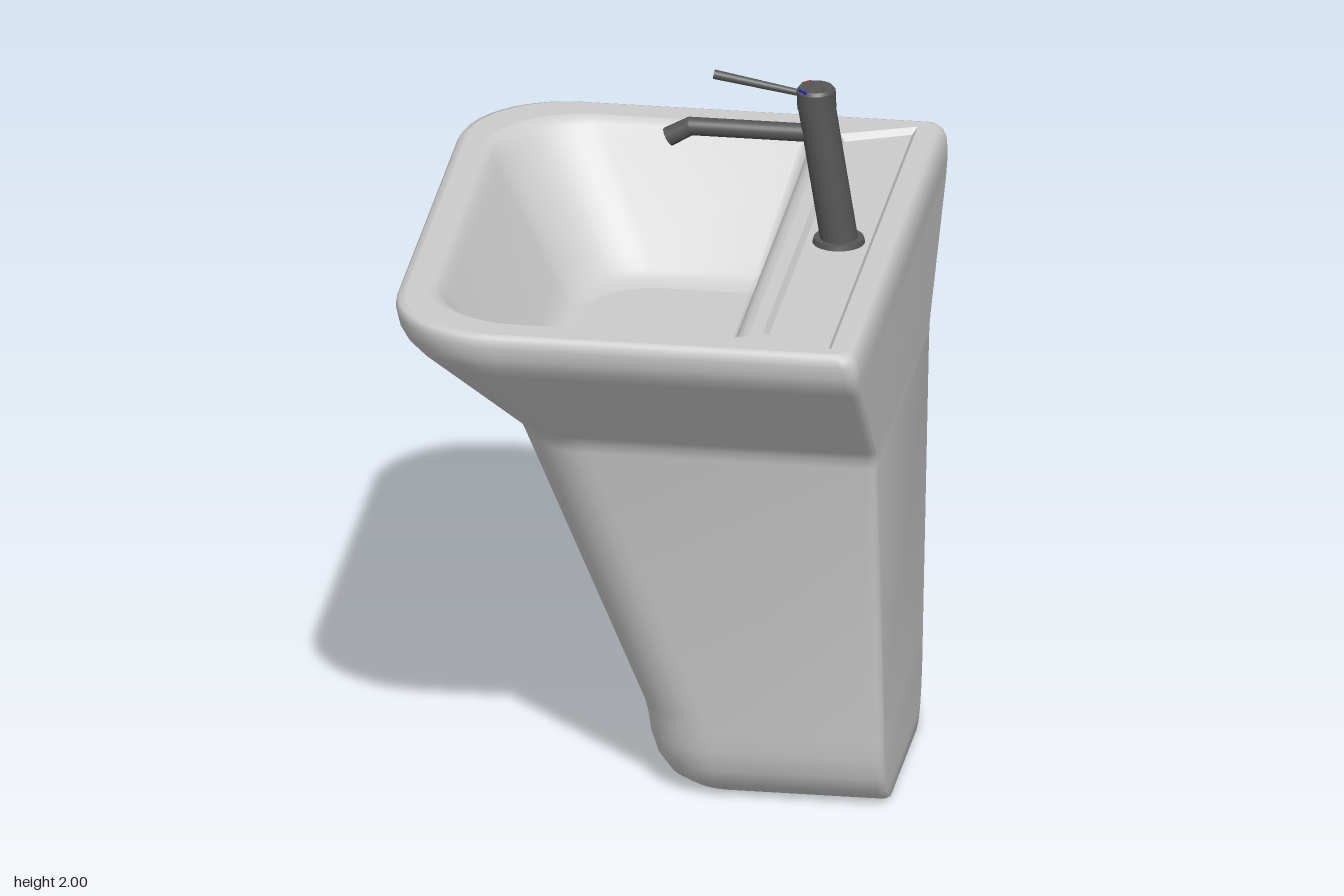
import * as THREE from 'three';
import { toCreasedNormals } from 'three/addons/utils/BufferGeometryUtils.js';

const RIM = 1.535;
const ceramic = new THREE.MeshStandardMaterial({ color: 0xcccccc });
const metal = new THREE.MeshStandardMaterial({ color: 0x555555 });
const red = new THREE.MeshStandardMaterial({ color: 0xcc2222 });
const blue = new THREE.MeshStandardMaterial({ color: 0x2222cc });

// Horizontal outline with separate front (-x) and back (+x) corner radii
function outline([y, x0, x1, hz, rf, rb]) {
  const pts = [], n = 10;
  const corners = [[x1 - rb, hz - rb, rb], [x0 + rf, hz - rf, rf], [x0 + rf, rf - hz, rf], [x1 - rb, rb - hz, rb]];
  corners.forEach(([cx, cz, r], k) => {
    for (let i = 0; i <= n; i++) {
      const a = (k + i / n) * Math.PI / 2;
      pts.push(new THREE.Vector3(cx + r * Math.cos(a), y, cz + r * Math.sin(a)));
    }
  });
  return pts;
}

// Skin a stack of equal-length outlines
function loft(rings, crease) {
  const n = rings[0].length, index = [];
  for (let j = 0; j < rings.length - 1; j++) {
    for (let i = 0; i < n; i++) {
      const a = j * n + i, b = j * n + (i + 1) % n;
      index.push(a, a + n, b, b, a + n, b + n);
    }
  }
  const g = new THREE.BufferGeometry().setFromPoints(rings.flat());
  g.setIndex(index);
  return toCreasedNormals(g, crease);
}

// Flat face bounded by an outline, facing up or down
function flat(pts, up = true, holes = []) {
  const s = up ? -1 : 1;
  const to2 = (list) => list.map((p) => new THREE.Vector2(p.x, s * p.z));
  const shape = new THREE.Shape(to2(pts));
  holes.forEach((h) => shape.holes.push(new THREE.Path(to2(h))));
  return new THREE.ShapeGeometry(shape).rotateX(s * Math.PI / 2).translate(0, pts[0].y, 0);
}

function add(parent, name, geometry, material) {
  const m = new THREE.Mesh(geometry, material);
  m.name = name;
  parent.add(m);
  return m;
}

// Round bar between two points
function rod(parent, name, a, b, ra, rb, material) {
  const p = new THREE.Vector3(...a), q = new THREE.Vector3(...b);
  const d = q.clone().sub(p);
  const m = add(parent, name, new THREE.CylinderGeometry(rb, ra, d.length(), 32), material);
  m.position.copy(p).add(q).multiplyScalar(0.5);
  m.quaternion.setFromUnitVectors(new THREE.Vector3(0, 1, 0), d.normalize());
  return m;
}

export function createModel() {
  const model = new THREE.Group();
  const sink = new THREE.Group();
  sink.name = 'pedestalSink';
  model.add(sink);

  // Pedestal and outside of the bowl: y, front x, back x, half width, front radius, back radius
  const outer = [
    [0, 0.12, 0.65, 0.25, 0.12, 0.015],
    [0.012, 0.075, 0.65, 0.29, 0.14, 0.02],
    [0.04, 0.035, 0.65, 0.322, 0.16, 0.025],
    [0.09, 0.003, 0.65, 0.35, 0.18, 0.03],
    [0.15, -0.015, 0.65, 0.365, 0.19, 0.03],
    [0.21, -0.022, 0.65, 0.373, 0.19, 0.03],
    [0.25, -0.032, 0.65, 0.378, 0.19, 0.03],
    [1.06, -0.343, 0.65, 0.49, 0.2, 0.03],
    [1.09, -0.354, 0.65, 0.498, 0.2, 0.03],
    [1.115, -0.37, 0.65, 0.518, 0.2, 0.03],
    [1.4, -0.607, 0.65, 0.8, 0.28, 0.03],
    [1.435, -0.633, 0.65, 0.827, 0.29, 0.035],
    [1.465, -0.648, 0.65, 0.841, 0.3, 0.04],
    [1.5, -0.655, 0.646, 0.848, 0.3, 0.04],
    [1.52, -0.655, 0.637, 0.848, 0.3, 0.04],
    [1.53, -0.648, 0.627, 0.842, 0.29, 0.04],
    [RIM, -0.632, 0.612, 0.828, 0.28, 0.03],
  ].map(outline);
  add(sink, 'pedestalAndBowlShell', loft(outer, 0.9), ceramic);
  add(sink, 'pedestalBase', flat(outer[0], false), ceramic);

  // Inside of the bowl, from the rim down to the floor
  const inner = [
    [RIM, -0.58, 0.335, 0.75, 0.28, 0.03],
    [1.53, -0.562, 0.318, 0.738, 0.27, 0.03],
    [1.518, -0.547, 0.302, 0.724, 0.265, 0.03],
    [1.49, -0.53, 0.287, 0.706, 0.26, 0.03],
    [1.22, -0.355, 0.207, 0.545, 0.23, 0.03],
    [1.185, -0.33, 0.195, 0.52, 0.22, 0.03],
    [1.165, -0.305, 0.182, 0.497, 0.21, 0.03],
    [1.155, -0.27, 0.16, 0.465, 0.19, 0.03],
  ].map(outline);
  add(sink, 'bowlInside', loft(inner, 0.9), ceramic);
  add(sink, 'bowlFloor', flat(inner[inner.length - 1]), ceramic);

  // Shallow trapezoid tray in the back deck
  const tray = (y, d) => [[0.57 - d, 0.792 - 1.5 * d], [0.37 + d, 0.71 - d], [0.37 + d, d - 0.71], [0.57 - d, 1.5 * d - 0.792]]
    .map(([x, z]) => new THREE.Vector3(x, y, z));
  const trayTop = tray(RIM, 0), trayBottom = tray(1.518, 0.013);
  add(sink, 'trayWalls', loft([trayTop, trayBottom], 0.3), ceramic);
  add(sink, 'trayFloor', flat(trayBottom), ceramic);
  add(sink, 'rimTop', flat(outer[outer.length - 1], true, [inner[0], trayTop]), ceramic);

  // Drain: ring and plug on the bowl floor
  const drain = new THREE.Group();
  drain.name = 'drain';
  drain.position.set(-0.04, 1.157, 0);
  sink.add(drain);
  add(drain, 'drainFlange', new THREE.CylinderGeometry(0.052, 0.058, 0.012, 40), metal);
  add(drain, 'drainPlug', new THREE.CylinderGeometry(0.038, 0.04, 0.012, 40), metal).position.y = 0.008;

  // Leaning single-lever tap
  const tap = new THREE.Group();
  tap.name = 'tap';
  model.add(tap);
  rod(tap, 'tapFlange', [0.472, 1.516, 0], [0.472, 1.532, 0], 0.072, 0.068, metal);
  rod(tap, 'tapBody', [0.475, 1.515, 0], [0.412, 1.91, 0], 0.051, 0.051, metal);
  rod(tap, 'tapCap', [0.412, 1.908, 0], [0.41, 1.958, 0], 0.053, 0.053, metal);
  rod(tap, 'tapCapTop', [0.41, 1.958, 0], [0.41, 1.968, 0], 0.053, 0.046, metal);
  rod(tap, 'lever', [0.38, 1.945, 0], [0.13, 1.988, 0], 0.009, 0.013, metal);
  const bend = [0.065, 1.832, 0];
  rod(tap, 'spoutArm', [0.42, 1.832, 0], bend, 0.025, 0.025, metal);
  add(tap, 'spoutBend', new THREE.SphereGeometry(0.025, 24, 16), metal).position.set(...bend);
  rod(tap, 'spoutTip', bend, [0.005, 1.797, 0], 0.025, 0.027, metal);

  // Hot and cold marks on the cap
  for (const [name, side, material] of [['hotMark', -1, red], ['coldMark', 1, blue]]) {
    const mark = add(tap, name, new THREE.BoxGeometry(0.03, 0.008, 0.006), material);
    mark.position.set(0.379, 1.964, side * 0.034);
    mark.rotation.y = -side * Math.PI / 4;
  }
  return model;
}
